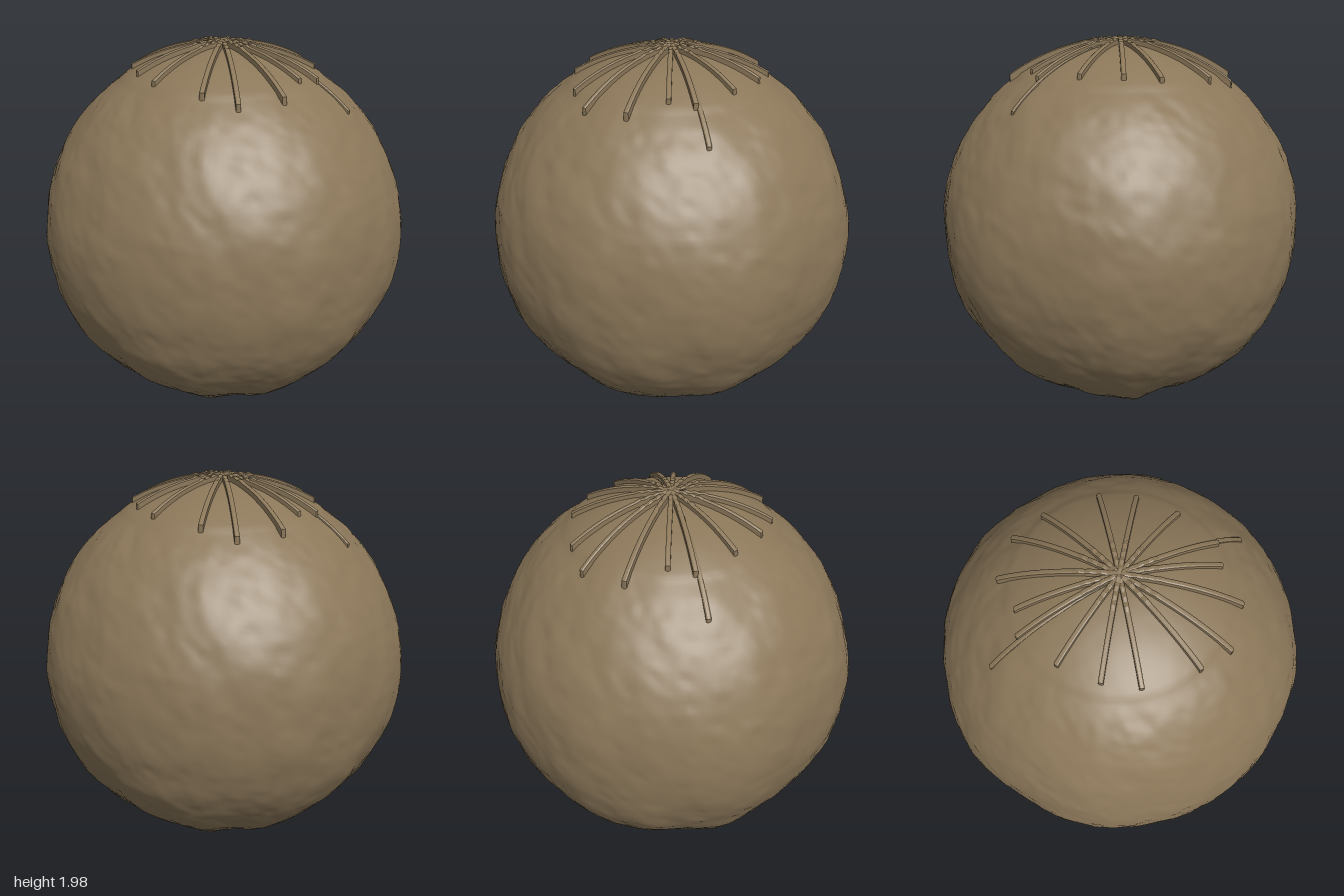
import * as THREE from 'three';
import { mergeVertices } from 'three/addons/utils/BufferGeometryUtils.js';

const RADIUS = 0.968, CENTRE_Y = 0.985;

// Seeded lattice value noise
function hash(x, y, z) {
  let h = Math.imul(x, 374761393) ^ Math.imul(y, 668265263) ^ Math.imul(z, 1274126177);
  h = Math.imul(h ^ (h >>> 13), 1103515245);
  return ((h ^ (h >>> 16)) >>> 0) / 4294967295;
}
function noise(x, y, z) {
  const X = Math.floor(x), Y = Math.floor(y), Z = Math.floor(z);
  const s = t => t * t * (3 - 2 * t);
  const u = s(x - X), v = s(y - Y), w = s(z - Z);
  let sum = 0;
  for (let i = 0; i < 8; i++) {
    const a = i & 1, b = (i >> 1) & 1, c = i >> 2;
    sum += hash(X + a, Y + b, Z + c) * (a ? u : 1 - u) * (b ? v : 1 - v) * (c ? w : 1 - w);
  }
  return sum * 2 - 1;
}
// The rind repeats after half a turn around the vertical axis
const twin = (p, fx, fy) => noise(p.x * fx, p.y * fy, p.z * fx) + noise(-p.x * fx, p.y * fy, -p.z * fx);

// Radius of the rind in direction p
function rindRadius(p) {
  const angle = Math.atan2(p.z, p.x), ring = Math.hypot(p.x, p.z);
  const low = THREE.MathUtils.smoothstep(-p.y, 0.2, 0.9);
  const calm = 1 - 0.8 * THREE.MathUtils.smoothstep(p.y, 0.72, 0.88);
  let r = RADIUS - 0.003;
  r += calm * (0.006 * twin(p, 3, 2) + 0.004 * twin(p, 9, 7) + 0.002 * twin(p, 22, 20));
  // shallow meridian folds, gathering into creases at the bottom
  const fold = Math.cos(8 * angle + 0.6) + 0.6 * Math.cos(14 * angle + 2);
  r += fold * Math.min(1, ring * 3) * (0.002 + 0.006 * low) * calm;
  // faint step round the upper cap
  if (p.y > 0) r += 0.005 * (1 - THREE.MathUtils.smoothstep(ring, 0.53, 0.56));
  return r;
}

function rindGeometry() {
  const geo = new THREE.SphereGeometry(1, 220, 140);
  geo.deleteAttribute('uv');
  geo.deleteAttribute('normal');
  const merged = mergeVertices(geo, 1e-4);
  const pos = merged.attributes.position, p = new THREE.Vector3();
  for (let i = 0; i < pos.count; i++) {
    p.fromBufferAttribute(pos, i).normalize();
    p.multiplyScalar(rindRadius(p));
    pos.setXYZ(i, p.x, p.y, p.z);
  }
  merged.computeVertexNormals();
  return merged;
}

// Thin upright blade following the curve of the top, running out to radius reach
function ribGeometry(reach, height) {
  const shape = new THREE.Shape(), steps = 22, depth = 0.012;
  const arc = (r, radius) => Math.sqrt(radius * radius - r * r);
  shape.moveTo(0, arc(0, RADIUS - 0.03));
  for (let i = 0; i <= steps; i++) {
    const t = i / steps, r = reach * t;
    const jag = t < 0.35 ? 0.005 * (i % 2) : 0;
    shape.lineTo(r, arc(r, RADIUS + height) + jag);
  }
  for (let i = steps; i > 0; i--) {
    const r = reach * i / steps;
    shape.lineTo(r, arc(r, RADIUS - 0.03));
  }
  const geo = new THREE.ExtrudeGeometry(shape, {
    depth, bevelEnabled: true, bevelThickness: 0.006, bevelSize: 0.004, bevelSegments: 1,
  });
  return geo.translate(0, 0, -depth / 2);
}

export function createModel() {
  const model = new THREE.Group();
  model.name = 'ribbedSphere';
  const brown = new THREE.MeshStandardMaterial({ color: 0x8b7759 });
  brown.name = 'earthBrown';

  const body = new THREE.Group();
  body.name = 'body';
  body.position.y = CENTRE_Y;
  model.add(body);

  const rind = new THREE.Mesh(rindGeometry(), brown);
  rind.name = 'rind';
  body.add(rind);

  // Outer ends of the ribs on one half (x, z, height); the other half is turned 180 degrees
  const ribs = [
    [0.47, -0.02, 0.027], [0.43, 0.19, 0.022], [0.33, 0.40, 0.025], [0.21, 0.44, 0.022],
    [0.06, 0.57, 0.027], [-0.17, 0.56, 0.022], [-0.30, 0.44, 0.025], [-0.45, 0.20, 0.022],
    [0.45, 0.51, 0.006],
  ];
  const crown = new THREE.Group();
  crown.name = 'crownRibs';
  body.add(crown);
  for (const [x, z, height] of ribs) {
    const geo = ribGeometry(Math.hypot(x, z), height);
    for (const turn of [0, Math.PI]) {
      const rib = new THREE.Mesh(geo, brown);
      rib.name = 'rib';
      rib.rotation.y = Math.atan2(-z, x) + turn;
      crown.add(rib);
    }
  }

  // Small knot where the ribs meet
  const knot = new THREE.Mesh(new THREE.SphereGeometry(0.045, 16, 8), brown);
  knot.name = 'crownKnot';
  knot.scale.y = 0.5;
  knot.position.y = RADIUS + 0.008;
  body.add(knot);

  // Pucker where the lower folds meet
  const pucker = new THREE.Mesh(new THREE.SphereGeometry(0.05, 16, 8), brown);
  pucker.name = 'bottomPucker';
  pucker.scale.y = 0.5;
  pucker.position.y = -RADIUS + 0.012;
  body.add(pucker);

  return model;
}
